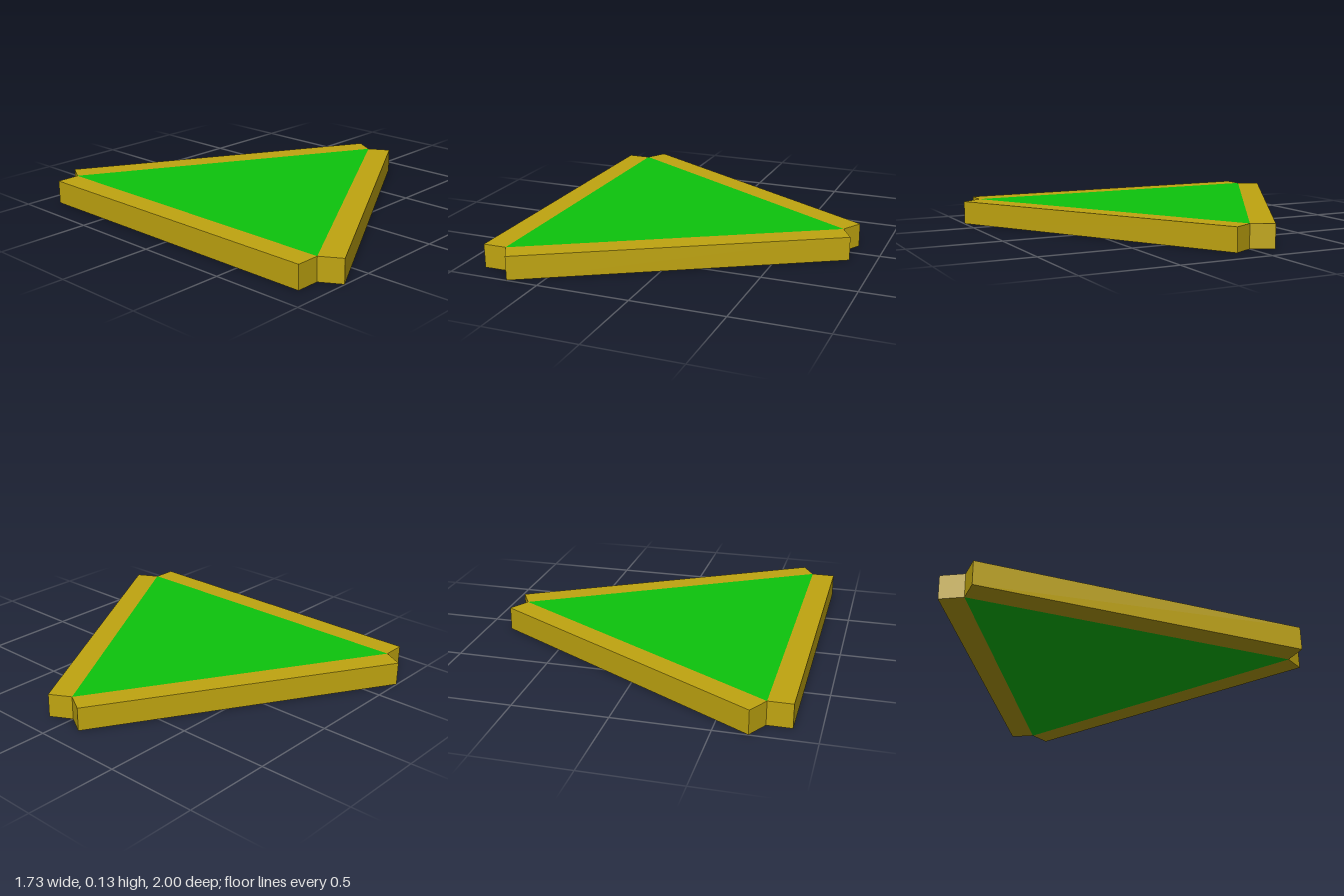
import * as THREE from 'three';

export function createModel() {
  const model = new THREE.Group();
  model.name = 'triangularFrame';

  const side = 1.774, thick = 0.128;
  const inradius = side / (2 * Math.sqrt(3));
  const gold = new THREE.MeshStandardMaterial({ color: 0xc0a510, flatShading: true });
  const green = new THREE.MeshStandardMaterial({ color: 0x0dc40d, flatShading: true });

  // Everything is laid out around the triangle's centroid
  const body = new THREE.Group();
  body.name = 'body';
  body.position.set(-0.226, thick / 2, 0);
  model.add(body);

  // Triangular panel, one corner pointing to +x
  const panel = new THREE.Mesh(
    new THREE.CylinderGeometry(inradius * 2, inradius * 2, thick, 3, 1, false, Math.PI / 2), green);
  panel.name = 'panel';
  body.add(panel);

  // One square rail along each edge
  const railGeometry = new THREE.BoxGeometry(thick, thick, side);
  railGeometry.translate(-inradius - thick / 2, 0, 0);
  ['rightRail', 'frontRail', 'backRail'].forEach((name, i) => {
    const rail = new THREE.Mesh(railGeometry, gold);
    rail.name = name;
    rail.rotation.y = i * Math.PI * 2 / 3;
    body.add(rail);
  });

  return model;
}
